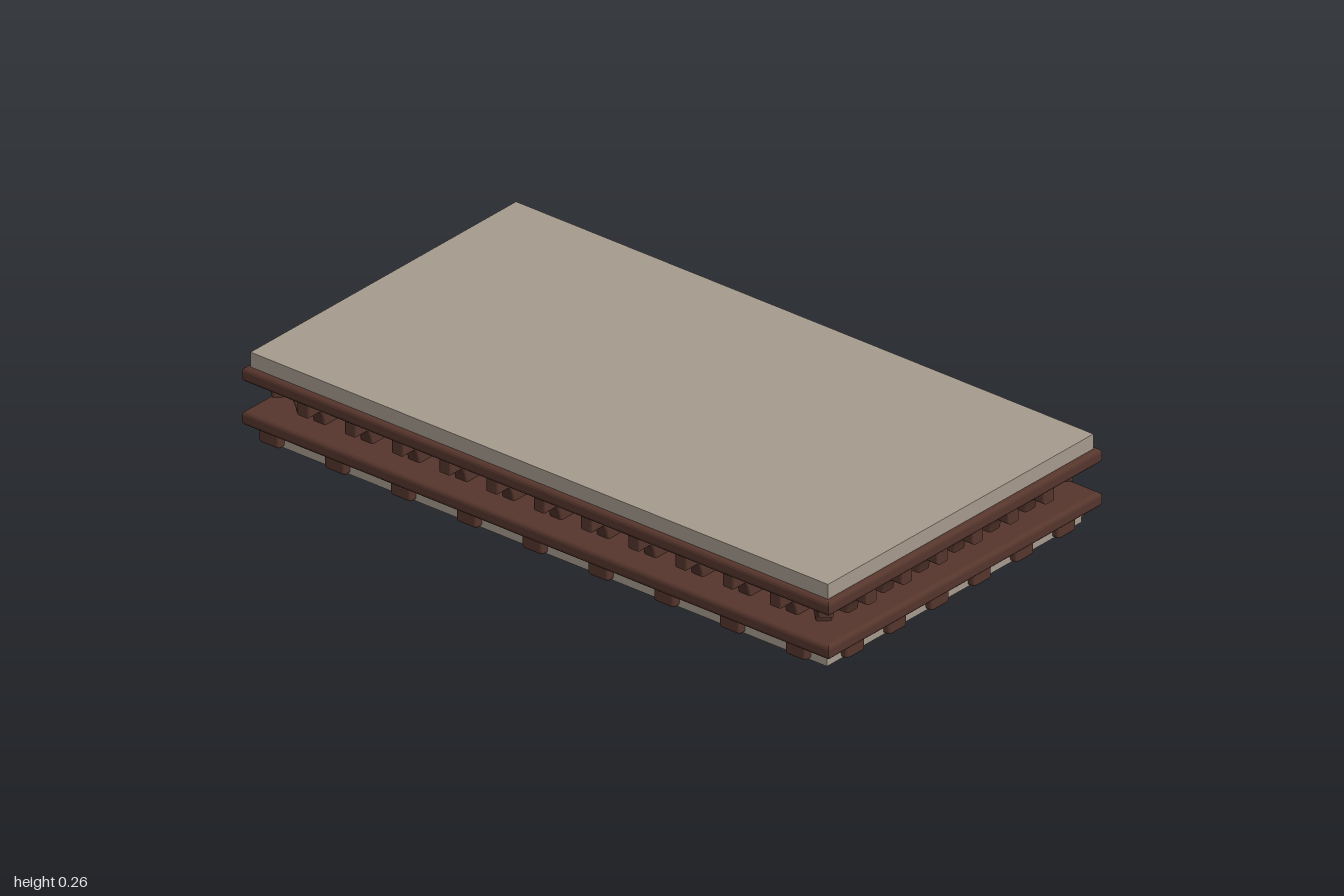
import * as THREE from 'three';
import { RoundedBoxGeometry } from 'three/addons/geometries/RoundedBoxGeometry.js';

export function createModel() {
  const model = new THREE.Group();
  model.name = 'corniceSlab';
  const stone = new THREE.MeshStandardMaterial({ color: 0xa69b8d });
  stone.name = 'paleStone';
  const wood = new THREE.MeshStandardMaterial({ color: 0x56362d });
  wood.name = 'darkWood';

  function add(name, geometry, material, parent = model) {
    const mesh = new THREE.Mesh(geometry, material);
    mesh.name = name;
    parent.add(mesh);
    return mesh;
  }

  // Flat stone layer from y0 to y1
  function layer(name, halfX, halfZ, y0, y1) {
    add(name, new THREE.BoxGeometry(halfX * 2, y1 - y0, halfZ * 2), stone).position.y = (y0 + y1) / 2;
  }
  layer('baseSlab', 0.515, 0.962, 0, 0.05);
  layer('core', 0.42, 0.867, 0.08, 0.18);
  layer('topSlab', 0.537, 0.984, 0.21, 0.26);

  // Wooden mouldings with bevelled edges
  function moulding(name, y0, y1) {
    const r = 0.012, x = 0.553 - r, z = 1 - r;
    const shape = new THREE.Shape([
      new THREE.Vector2(-x, -z), new THREE.Vector2(x, -z),
      new THREE.Vector2(x, z), new THREE.Vector2(-x, z),
    ]);
    const g = new THREE.ExtrudeGeometry(shape, {
      depth: y1 - y0 - 2 * r, bevelEnabled: true, bevelSize: r, bevelThickness: r, bevelSegments: 3,
    });
    g.rotateX(-Math.PI / 2);
    add(name, g, wood).position.y = y0 + r;
  }
  moulding('lowerMoulding', 0.044, 0.087);
  moulding('upperMoulding', 0.173, 0.216);

  // Curved bracket, reaching out along +z from the core face
  const b = 0.007, w = 0.043;
  const profile = new THREE.Shape();
  profile.moveTo(-0.01, 0.08);
  profile.lineTo(0.044, 0.08);
  profile.quadraticCurveTo(0.056, 0.136, 0.074, 0.138);
  profile.lineTo(0.111, 0.138);
  profile.lineTo(0.111, 0.172);
  profile.lineTo(-0.01, 0.172);
  profile.closePath();
  const bracket = new THREE.ExtrudeGeometry(profile, {
    depth: w - 2 * b, bevelEnabled: true, bevelSize: b, bevelThickness: b, bevelSegments: 3, curveSegments: 6,
  });
  bracket.translate(0, 0, -(w - 2 * b) / 2);
  bracket.rotateY(-Math.PI / 2);

  // Rounded tooth under the lower moulding
  const tooth = new RoundedBoxGeometry(0.072, 0.06, 0.06, 2, 0.01);

  // Four sides; each row is laid out along its own local x
  const sides = [
    { name: 'front', turn: 0, coreAt: 0.867, edge: 0.984, brackets: 6, gap: 0.1437, teeth: 6, toothGap: 0.171, shift: 0.006 },
    { name: 'left', turn: Math.PI / 2, coreAt: 0.42, edge: 0.537, brackets: 11, gap: 0.161, teeth: 9, toothGap: 0.2243, shift: -0.026 },
    { name: 'back', turn: Math.PI, coreAt: 0.867, edge: 0.984, brackets: 6, gap: 0.1437, teeth: 6, toothGap: 0.171, shift: 0.006 },
    { name: 'right', turn: -Math.PI / 2, coreAt: 0.42, edge: 0.537, brackets: 11, gap: 0.161, teeth: 9, toothGap: 0.2243, shift: -0.026 },
  ];
  for (const s of sides) {
    const side = new THREE.Group();
    side.name = s.name + 'Row';
    side.rotation.y = s.turn;
    model.add(side);
    for (let i = 0; i < s.brackets; i++) {
      add('bracket', bracket, wood, side).position.set((i - (s.brackets - 1) / 2) * s.gap, 0, s.coreAt);
    }
    for (let i = 0; i < s.teeth; i++) {
      add('tooth', tooth, wood, side).position.set((i - (s.teeth - 1) / 2) * s.toothGap + s.shift, 0.032, s.edge - 0.03);
    }
  }

  // Diagonal bracket at each corner
  for (const sx of [-1, 1]) for (const sz of [-1, 1]) {
    const corner = add('cornerBracket', bracket, wood);
    corner.position.set(sx * 0.415, 0, sz * 0.862);
    corner.rotation.y = Math.atan2(sx, sz);
  }
  return model;
}
